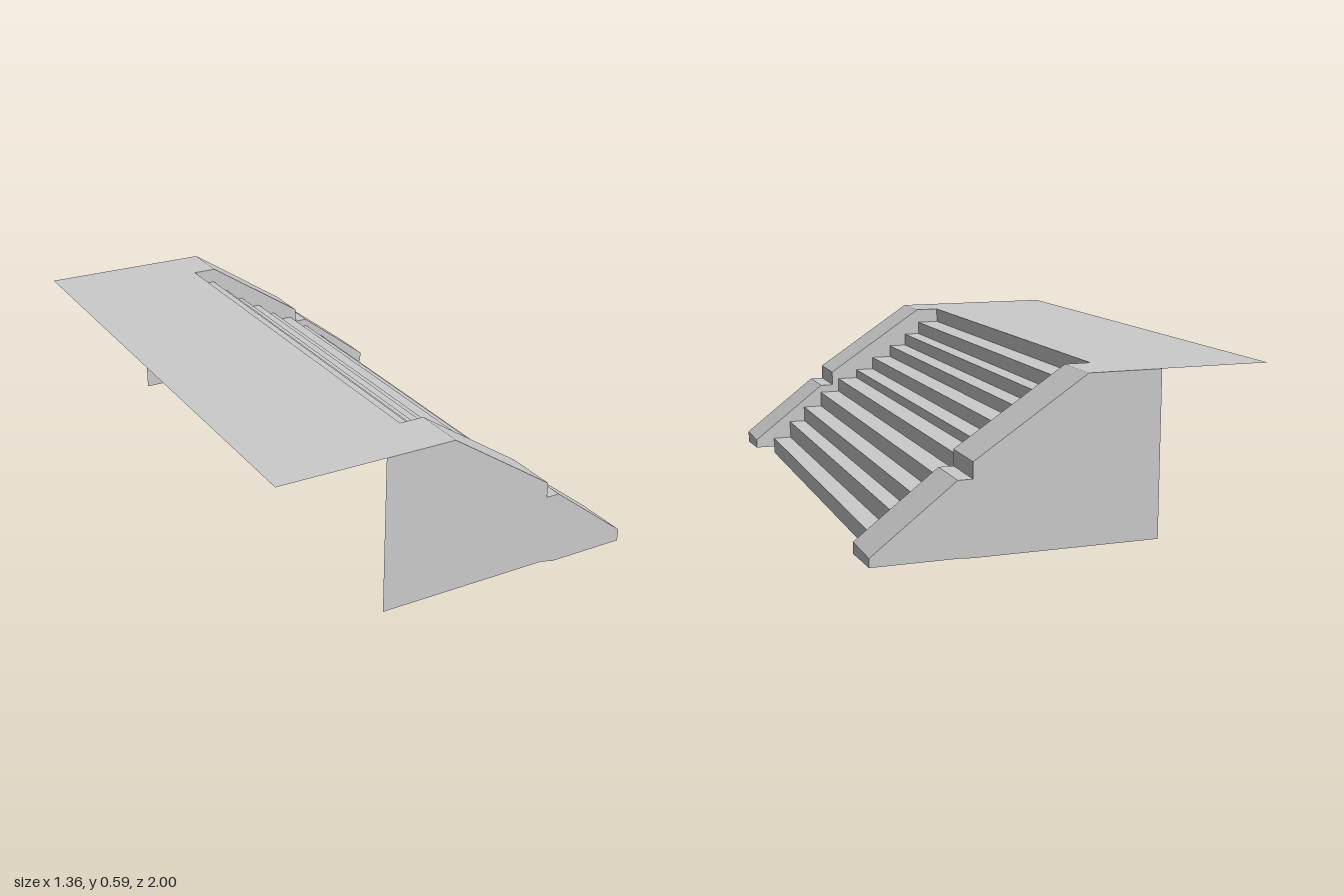
import * as THREE from 'three';

const material = new THREE.MeshStandardMaterial({
  color: 0xcccccc, flatShading: true, side: THREE.DoubleSide,
});

function addMesh(parent, name, geometry) {
  const mesh = new THREE.Mesh(geometry, material);
  mesh.name = name;
  parent.add(mesh);
  return mesh;
}

// Folded sheet between matching [x, y] profiles lying at z = za and z = zb (za > zb faces up)
function sheet(profileA, za, profileB, zb) {
  const positions = [];
  for (let i = 0; i + 1 < profileA.length; i++) {
    const a = [...profileA[i], za], b = [...profileA[i + 1], za];
    const c = [...profileB[i + 1], zb], d = [...profileB[i], zb];
    positions.push(...a, ...b, ...c, ...a, ...c, ...d);
  }
  const geometry = new THREE.BufferGeometry();
  geometry.setAttribute('position', new THREE.Float32BufferAttribute(positions, 3));
  geometry.computeVertexNormals();
  return geometry;
}

// Flat upright panel from an [x, y] outline
function panel(outline, z) {
  const shape = new THREE.Shape(outline.map(([x, y]) => new THREE.Vector2(x, y)));
  return new THREE.ShapeGeometry(shape).translate(0, 0, z);
}

const TOP = 0.59, OUTER = 1, INNER = 0.81;

// Stepped upper edge of a parapet, ending at the foot of its front face
const parapetEdge = (base) => [
  [-0.04, TOP], [0.345, 0.335], [0.345, 0.28], [0.395, 0.28], [0.68, 0.06], [0.68, base],
];

// One side: outer wall, inner wall, sloping cap and underside of the foot
function createParapet(name, side, outerBase, innerBase) {
  const group = new THREE.Group();
  group.name = name;
  const outerEdge = parapetEdge(outerBase), innerEdge = parapetEdge(innerBase);
  const zo = side * OUTER, zi = side * INNER;

  addMesh(group, 'outerWall', panel(
    [[-0.295, TOP], ...outerEdge, [0.39, outerBase], [0.345, 0.027], [-0.295, 0.027]], zo));
  addMesh(group, 'innerWall', panel(
    [[-0.13, TOP], ...innerEdge, [0.39, 0.025], [0.345, 0.187],
      [-0.055, 0.187], [-0.055, 0.48], [-0.13, 0.535]], zi));

  const capped = (o, i) => (side > 0 ? sheet(o, zo, i, zi) : sheet(i, zi, o, zo));
  addMesh(group, 'cap', capped(outerEdge, innerEdge));
  addMesh(group, 'footUnderside', capped(
    [[0.68, outerBase], [0.39, outerBase]], [[0.68, innerBase], [0.39, 0.025]]));
  return group;
}

export function createModel() {
  const model = new THREE.Group();
  model.name = 'staircase';

  // Flight of steps: each riser drops to the next tread level
  const riserX = [-0.13, -0.045, 0.016, 0.085, 0.165, 0.238, 0.318, 0.397, 0.471, 0.534, 0.605];
  const levels = [TOP, 0.535, 0.485, 0.437, 0.39, 0.34, 0.305, 0.25, 0.19, 0.13, 0.062, 0];
  const steps = riserX.flatMap((x, i) => [[x, levels[i]], [x, levels[i + 1]]]);
  addMesh(model, 'steps', sheet(steps, INNER, steps, -INNER));

  // Thin landing, notched where the steps begin
  const landing = new THREE.Shape([
    [-0.68, -OUTER], [-0.04, -OUTER], [-0.04, -INNER], [-0.13, -INNER],
    [-0.13, INNER], [-0.04, INNER], [-0.04, OUTER], [-0.68, OUTER],
  ].map(([x, y]) => new THREE.Vector2(x, y)));
  addMesh(model, 'landing',
    new THREE.ShapeGeometry(landing).rotateX(-Math.PI / 2).translate(0, TOP, 0));

  // Parapets on both sides, with slightly uneven feet
  model.add(createParapet('frontParapet', 1, 0.015, 0.027));
  model.add(createParapet('backParapet', -1, 0.03, 0.02));
  return model;
}
